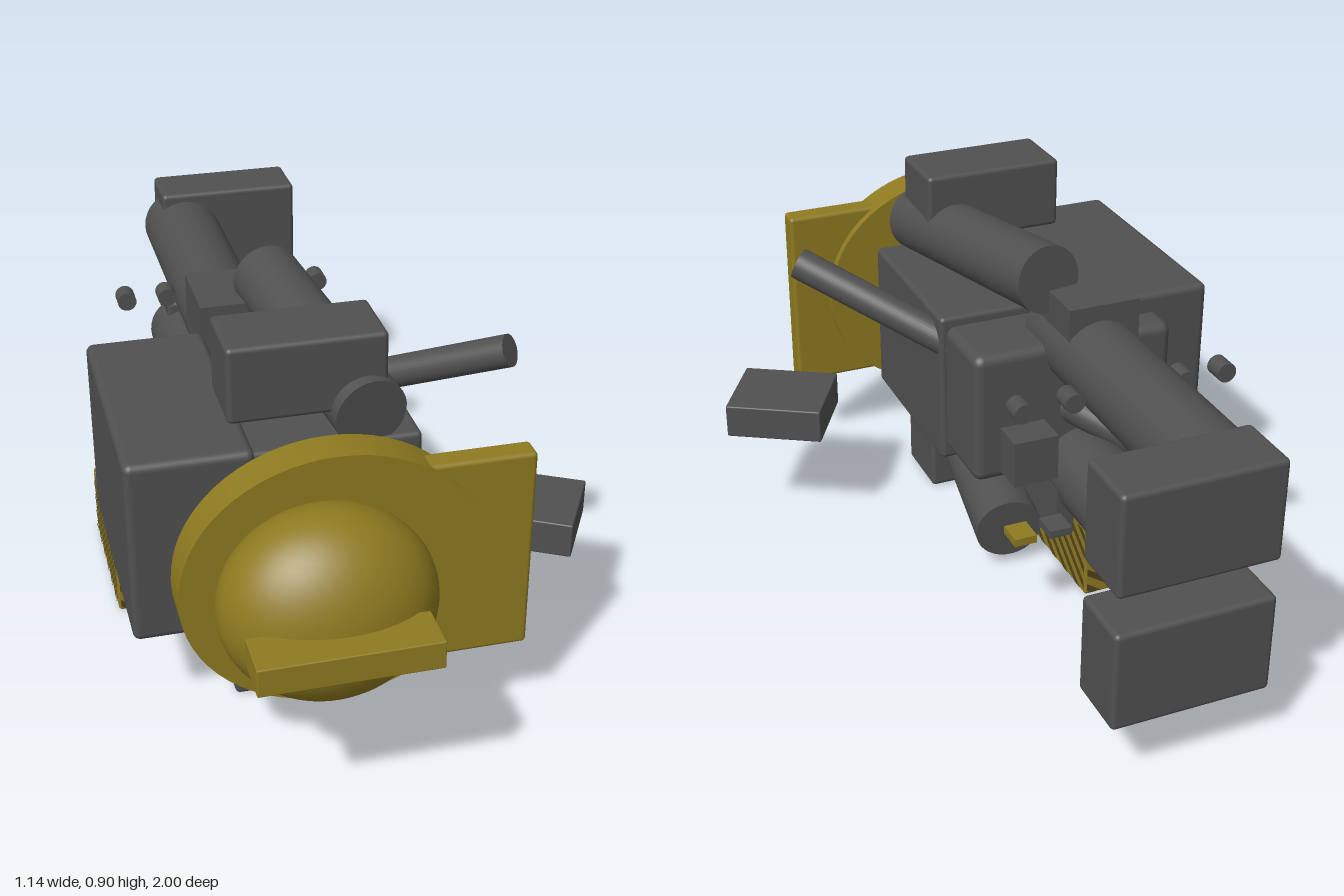
import * as THREE from 'three';
import { RoundedBoxGeometry } from 'three/addons/geometries/RoundedBoxGeometry.js';

const mat = (name, color, side = THREE.FrontSide) => {
  const m = new THREE.MeshStandardMaterial({ color, side });
  m.name = name;
  return m;
};

export function createModel() {
  const grey = mat('charcoal grey', 0x505050);
  const yellow = mat('safety yellow', 0x8e7a20);
  const stripeDark = mat('stripe brown', 0x504220, THREE.DoubleSide);
  const model = new THREE.Group();
  model.name = 'lyingWorker';

  const add = (name, geo, material, x = 0, y = 0, z = 0, parent = model) => {
    const mesh = new THREE.Mesh(geo, material);
    mesh.name = name;
    mesh.position.set(x, y, z);
    parent.add(mesh);
    return mesh;
  };

  // Box given by its limits on each axis, with softened edges
  const box = (name, material, [x0, x1], [y0, y1], [z0, z1], r = 0.012) => {
    const w = x1 - x0, h = y1 - y0, d = z1 - z0;
    const geo = r ? new RoundedBoxGeometry(w, h, d, 3, r) : new THREE.BoxGeometry(w, h, d);
    return add(name, geo, material, (x0 + x1) / 2, (y0 + y1) / 2, (z0 + z1) / 2);
  };

  // Cylinder between two points
  const rod = (name, a, b, r) => {
    const p = new THREE.Vector3(...a), q = new THREE.Vector3(...b);
    const dir = q.clone().sub(p);
    const mesh = add(name, new THREE.CylinderGeometry(r, r, dir.length(), 32), grey);
    mesh.position.copy(p).add(q).multiplyScalar(0.5);
    mesh.quaternion.setFromUnitVectors(new THREE.Vector3(0, 1, 0), dir.normalize());
    return mesh;
  };

  // Torso and backpack
  box('chest', grey, [-0.32, 0.095], [0.263, 0.655], [0.005, 0.47]);
  box('pelvis', grey, [-0.44, 0.08], [0.29, 0.63], [-0.18, 0.1], 0.025);
  box('backpack', grey, [-0.575, -0.29], [0.23, 0.68], [-0.105, 0.505], 0.018);

  // Legs, feet and shoulders, one pair above the other
  for (const [side, y] of [['right', 0.62], ['left', 0.29]]) {
    rod(side + 'Leg', [-0.2, y, -0.06], [-0.2, y, -0.935], 0.1);
    box(side + 'Foot', grey, [-0.26, 0.115], [y - 0.12, y + 0.122], [-1, -0.84]);
  }
  box('upperShoulder', grey, [-0.34, 0.017], [0.725, 0.905], [0.28, 0.46]);
  box('lowerShoulder', grey, [-0.34, 0.017], [0.005, 0.185], [0.28, 0.46]);

  // Arms
  rod('upperArm', [-0.025, 0.72, 0.475], [-0.12, 0.787, -0.145], 0.084);
  rod('lowerArm', [-0.115, 0.19, 0.475], [-0.025, 0.115, -0.145], 0.084);

  // Belt pouches
  box('upperPouch', grey, [-0.3, -0.12], [0.64, 0.76], [-0.265, -0.06], 0);
  box('frontPouch', grey, [-0.1, 0.015], [0.315, 0.435], [-0.265, -0.06], 0);
  box('lowerPouch', grey, [-0.3, -0.1], [0.15, 0.275], [-0.265, -0.06], 0);

  // Long rod passing through the body and a turned block beside it
  rod('toolRod', [0.36, 0.733, 0.285], [-0.335, 0.36, -0.29], 0.039);
  box('turnedBlock', grey, [0.287, 0.532], [0.275, 0.362], [0.228, 0.443], 0.004).rotation.y = -Math.PI / 6;

  // Hard hat: dome, brim, peak and ridge
  add('hatDome', new THREE.SphereGeometry(1, 48, 32), yellow, -0.198, 0.455, 0.763).scale.set(0.237, 0.22, 0.177);
  const brim = add('hatBrim', new THREE.CylinderGeometry(1, 1, 1, 64), yellow, -0.16, 0.455, 0.655);
  brim.rotation.x = Math.PI / 2;
  brim.scale.set(0.341, 0.09, 0.305);
  box('hatPeak', yellow, [-0.05, 0.28], [0.21, 0.7], [0.632, 0.691], 0.01);
  box('hatRidge', yellow, [-0.4, -0.015], [0.422, 0.487], [0.89, 1], 0.003);

  // Small loose fasteners and chips around the legs
  for (const x of [-0.43, -0.325, -0.045, 0.078]) rod('fastener', [x, 0.632, -0.41], [x, 0.632, -0.46], 0.024);
  [-0.408, -0.317, -0.043, 0.047].forEach((x, i) =>
    box('chip', i % 2 ? yellow : grey, [x - 0.028, x + 0.028], [0.25, 0.27], [-0.41, -0.345], 0));

  // Striped crate
  const size = [0.41, 0.186, 0.4];
  const crate = box('stripedCrate', yellow, [-0.556, -0.146], [0.009, 0.195], [-0.34, 0.06], 0.006);

  // Keep the part of a polygon where the distance f is positive
  const clip = (pts, f) => pts.flatMap((p, i) => {
    const q = pts[(i + 1) % pts.length], a = f(p), b = f(q);
    const out = a >= 0 ? [p] : [];
    if (a * b < 0) out.push(p.clone().lerp(q, a / (a - b)));
    return out;
  });

  // Diagonal stripes laid over a w by h face
  const stripes = (w, h, depth, rx, ry) => {
    const face = new THREE.Group();
    face.name = 'crateStripes';
    face.rotation.set(rx, ry, 0);
    crate.add(face);
    const u = w / 2 - 0.005, v = h / 2 - 0.005;
    const rect = [[-u, -v], [u, -v], [u, v], [-u, v]].map(p => new THREE.Vector2(...p));
    const dist = p => p.x * 0.55 + p.y * 0.83;
    for (let c = -0.4; c < 0.4; c += 0.037) {
      const poly = clip(clip(rect, p => dist(p) - c), p => c + 0.016 - dist(p));
      if (poly.length > 2)
        add('stripe', new THREE.ShapeGeometry(new THREE.Shape(poly)), stripeDark, 0, 0, depth / 2 + 0.002, face);
    }
  };
  const [w, h, d] = size, half = Math.PI / 2;
  stripes(w, h, d, 0, 0);
  stripes(w, h, d, 0, Math.PI);
  stripes(d, h, w, 0, half);
  stripes(d, h, w, 0, -half);
  stripes(w, d, h, -half, 0);
  stripes(w, d, h, half, 0);

  return model;
}
